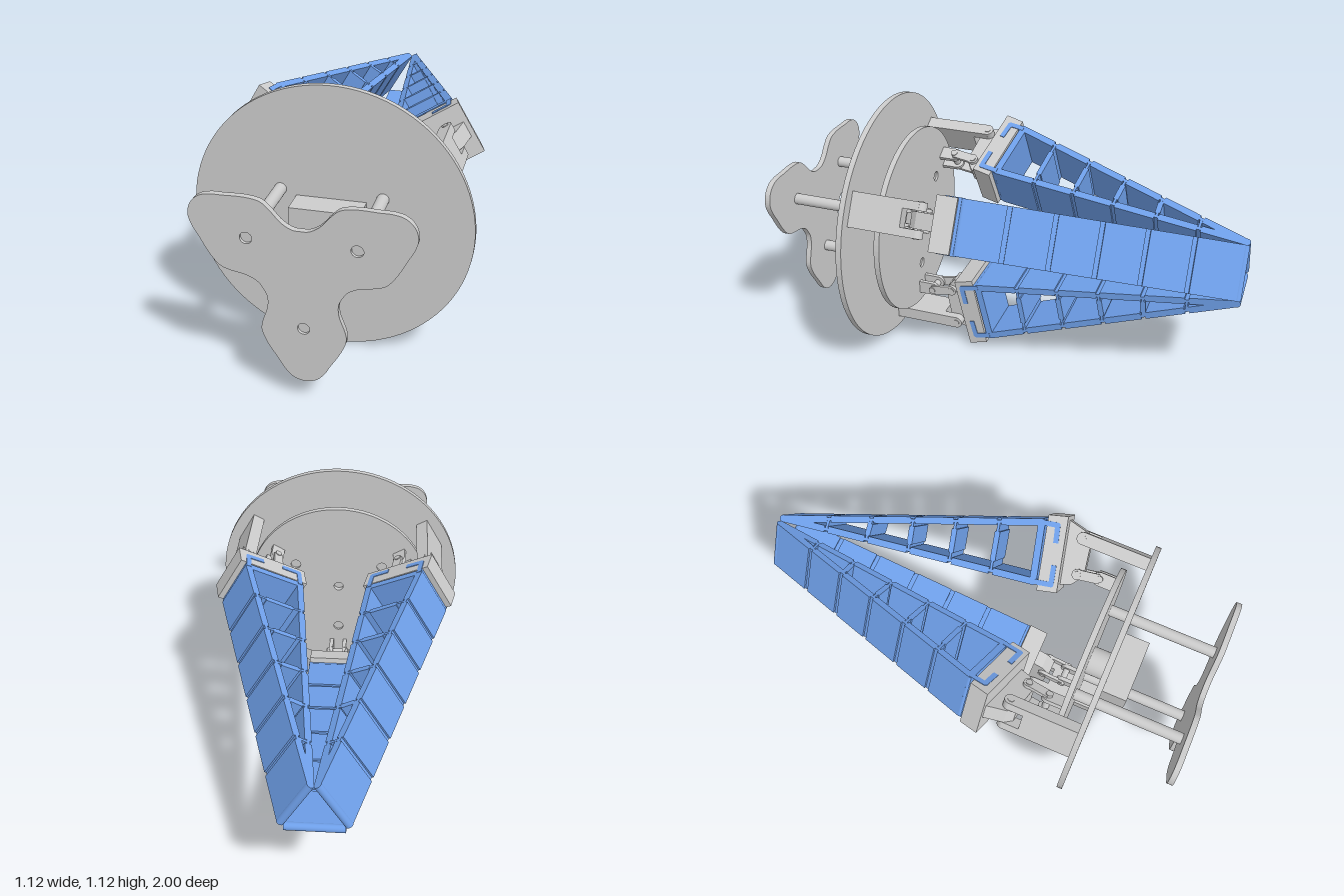
import * as THREE from 'three';

const AXIS = 0.5635; // height of the central axis
const WIDTH = 0.233; // finger width
const grey = new THREE.MeshStandardMaterial({ color: 0xcccccc });
const blue = new THREE.MeshStandardMaterial({ color: 0x6fa0ea });

function add(parent, name, geometry, material = grey) {
  const mesh = new THREE.Mesh(geometry, material);
  mesh.name = name;
  parent.add(mesh);
  return mesh;
}

// Side profile of [z, y] points, given a width along x
function slab(points, width, x = 0) {
  const shape = new THREE.Shape(points.map(([z, y]) => new THREE.Vector2(z, y)));
  return new THREE.ExtrudeGeometry(shape, { depth: width, bevelEnabled: false })
    .translate(0, 0, -width / 2).rotateY(-Math.PI / 2).translate(x, 0, 0);
}

// Straight strip between two [z, y] points
function strip(a, b, thick, width = WIDTH) {
  const dz = b[0] - a[0], dy = b[1] - a[1];
  return new THREE.BoxGeometry(width, thick, Math.hypot(dz, dy))
    .rotateX(-Math.atan2(dy, dz))
    .translate(0, (a[1] + b[1]) / 2, (a[0] + b[0]) / 2);
}

const mix = (a, b, t) => [a[0] + (b[0] - a[0]) * t, a[1] + (b[1] - a[1]) * t];

// Cylinder across the finger, used for pins and rounded ends
function pin(z, y, radius, length, x = 0) {
  return new THREE.CylinderGeometry(radius, radius, length, 24).rotateZ(Math.PI / 2).translate(x, y, z);
}

// Cylinder along z
function rod(radius, z0, z1, x, y, sides = 32) {
  return new THREE.CylinderGeometry(radius, radius, z1 - z0, sides).rotateX(Math.PI / 2)
    .translate(x, y, (z0 + z1) / 2);
}

// Flat plate centred on the axis with round holes [x, y, radius]
function plate(outline, z0, z1, holes) {
  for (const [x, y, r] of holes) outline.holes.push(new THREE.Path().absarc(x, y, r, 0, Math.PI * 2, true));
  return new THREE.ExtrudeGeometry(outline, { depth: z1 - z0, bevelEnabled: false, curveSegments: 48 })
    .translate(0, AXIS, z0);
}

// Wall of thick panels joined by thin flexures at the given z breaks
function wall(parent, name, a, b, breaks) {
  const at = (z) => mix(a, b, (z - a[0]) / (b[0] - a[0]));
  add(parent, name + 'Flexure', strip(a, b, 0.013), blue);
  const stops = [a[0] + 0.009, ...breaks, b[0] - 0.009];
  for (let i = 0; i < stops.length - 1; i++)
    add(parent, name + 'Panel', strip(at(stops[i] - 0.009), at(stops[i + 1] + 0.009), 0.03), blue);
  return at;
}

function createFinger() {
  const g = new THREE.Group();
  const innerBase = [0.155, 0.322], outerBase = [0.1, 0.075], tip = [-0.982, 0.482];
  const innerBreaks = [-0.03, -0.214, -0.4, -0.594, -0.78];
  const outerBreaks = [-0.07, -0.247, -0.425, -0.6, -0.782];

  // Flexible wedge: two walls, rounded tip, base and cross ribs
  const inner = wall(g, 'innerWall', innerBase, tip, innerBreaks);
  const outer = wall(g, 'outerWall', outerBase, tip, outerBreaks);
  add(g, 'fingerTip', pin(tip[0], tip[1], 0.0165, WIDTH), blue);
  add(g, 'fingerBase', strip(innerBase, outerBase, 0.03), blue);
  for (const corner of [innerBase, outerBase]) add(g, 'fingerCorner', pin(...corner, 0.015, WIDTH), blue);
  innerBreaks.forEach((z, i) => {
    const a = inner(z), b = outer(outerBreaks[i]);
    add(g, 'ribFlexure', strip(a, b, 0.011), blue);
    if (i < 4) add(g, 'rib', strip(mix(a, b, 0.2), mix(a, b, 0.8), 0.023), blue);
  });

  // Hooked clips that grip the holder
  const clips = [
    [innerBase, [0.232, 0.306], [0.214, 0.225]],
    [outerBase, [0.168, 0.062], [0.187, 0.135]],
  ];
  for (const [a, b, c] of clips) {
    add(g, 'clipArm', strip(a, b, 0.022, WIDTH + 0.004), blue);
    add(g, 'clipHook', strip(b, c, 0.022, WIDTH + 0.004), blue);
    add(g, 'clipCorner', pin(...b, 0.011, WIDTH + 0.004), blue);
  }

  // Holder block with a central lug
  add(g, 'holder', slab([[0.267, 0.33], [0.183, 0.352], [0.116, 0.035], [0.197, 0.012]], WIDTH - 0.002));
  add(g, 'holderLug', slab([[0.23, 0.315], [0.305, 0.285], [0.343, 0.235], [0.318, 0.08],
    [0.285, 0.05], [0.2, 0.03]], 0.07));

  // Fixed post with a forked end
  add(g, 'post', new THREE.BoxGeometry(0.15, 0.054, 0.235).translate(0, 0.079, 0.4675));
  for (const s of [-1, 1]) {
    add(g, 'postProng', new THREE.BoxGeometry(0.036, 0.054, 0.075).translate(s * 0.057, 0.079, 0.3175));
    add(g, 'postProngEnd', pin(0.283, 0.079, 0.027, 0.036, s * 0.057));
    // Ears on the moving plate
    add(g, 'plateEar', new THREE.BoxGeometry(0.018, 0.06, 0.08).translate(s * 0.032, 0.217, 0.448));
    add(g, 'plateEarEnd', pin(0.41, 0.217, 0.03, 0.018, s * 0.032));
    // Side links between ears and lug
    add(g, 'link', strip([0.41, 0.217], [0.315, 0.233], 0.042, 0.014).translate(s * 0.043, 0, 0));
    add(g, 'linkEnd', pin(0.315, 0.233, 0.024, 0.014, s * 0.043));
  }
  add(g, 'postPin', pin(0.283, 0.079, 0.014, 0.156));
  add(g, 'earPin', pin(0.41, 0.217, 0.015, 0.108));
  add(g, 'linkPin', pin(0.315, 0.233, 0.015, 0.108));
  return g;
}

// Three-lobed outline from half a lobe, given as [across, outward] points
function trefoil() {
  const half = [[0.044, 0.456], [0.076, 0.424], [0.098, 0.387], [0.1425, 0.313], [0.161, 0.26],
    [0.155, 0.222], [0.134, 0.158], [0.134, 0.112]];
  const lobe = [...half.map(([t, r]) => [-t, r]).reverse(), [0, 0.468], ...half, [0.147, 0.085]];
  const points = [];
  for (let k = 0; k < 3; k++) {
    const a = -Math.PI / 2 + k * Math.PI * 2 / 3, c = Math.cos(a), s = Math.sin(a);
    for (const [t, r] of lobe) points.push(new THREE.Vector3(r * c - t * s, r * s + t * c, 0));
  }
  const curve = new THREE.CatmullRomCurve3(points, true, 'centripetal');
  return new THREE.Shape(curve.getPoints(240).slice(0, -1).map((p) => new THREE.Vector2(p.x, p.y)));
}

export function createModel() {
  const model = new THREE.Group();
  model.name = 'threeFingerGripper';
  const rods = [0, 1, 2].map((k) => {
    const a = -Math.PI / 2 + k * Math.PI * 2 / 3;
    return [0.235 * Math.cos(a), 0.235 * Math.sin(a)];
  });
  const holes = rods.map(([x, y]) => [x, y, 0.023]);
  const disc = (r) => new THREE.Shape().absarc(0, 0, r, 0, Math.PI * 2);

  // Plates along the axis
  add(model, 'handlePlate', plate(trefoil(), 0.976, 1, holes));
  add(model, 'basePlate', plate(disc(0.5615), 0.578, 0.602, []));
  add(model, 'movingPlate', plate(disc(0.42), 0.476, 0.5, [...holes, [0, 0, 0.022]]));

  // Guide rods and drive
  for (const [x, y] of rods) add(model, 'guideRod', rod(0.0245, 0.486, 0.988, x, AXIS + y));
  add(model, 'motor', new THREE.BoxGeometry(0.28, 0.272, 0.11).translate(0, 0.524, 0.655));
  add(model, 'driveShaft', rod(0.063, 0.498, 0.58, 0, AXIS));

  // Fingers spaced evenly round the axis
  for (let k = 0; k < 3; k++) {
    const arm = new THREE.Group();
    arm.name = 'finger' + (k + 1);
    const finger = createFinger();
    finger.name = 'fingerParts';
    finger.position.y = -AXIS;
    arm.add(finger);
    arm.position.y = AXIS;
    arm.rotation.z = k * Math.PI * 2 / 3;
    model.add(arm);
  }
  return model;
}
